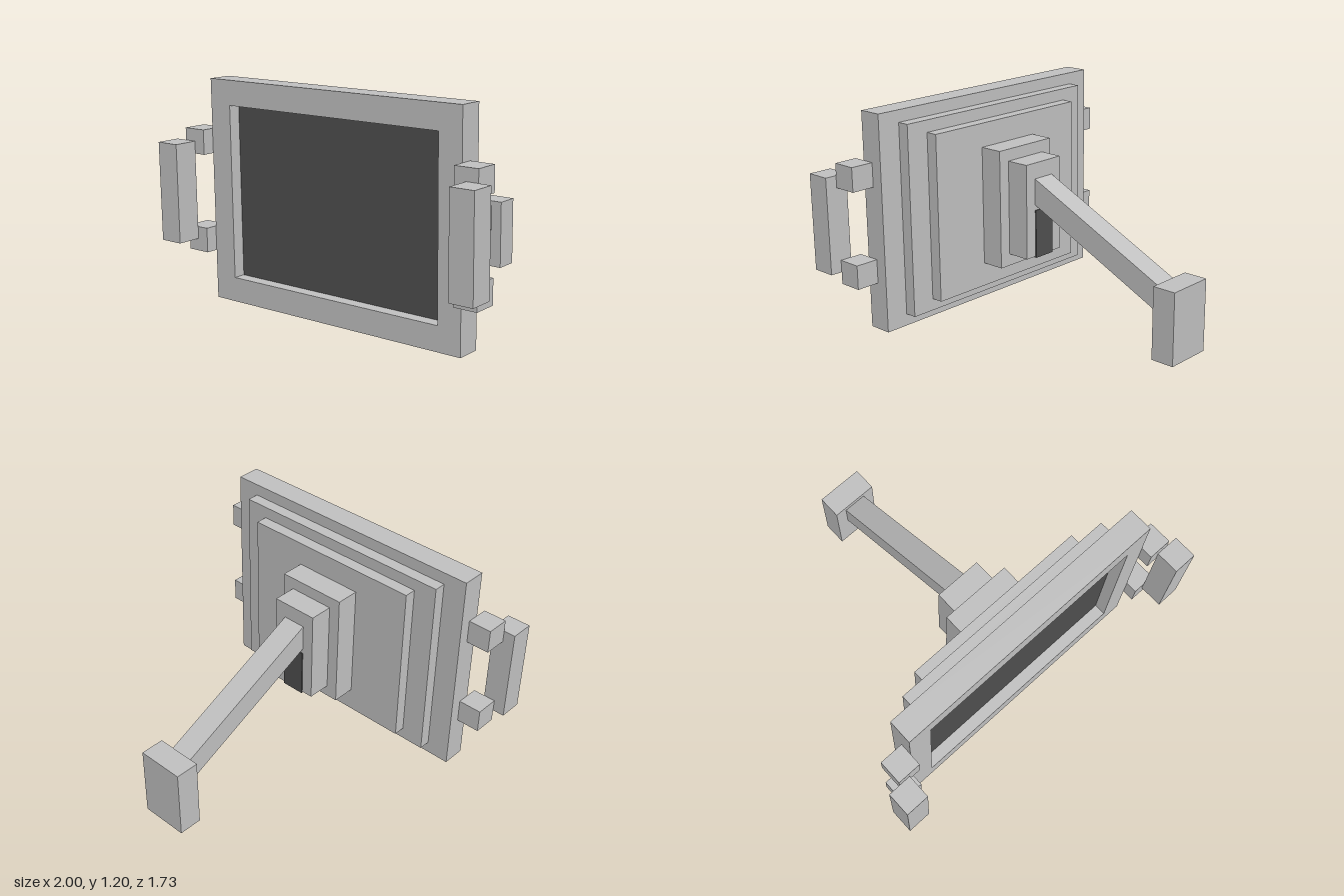
import * as THREE from 'three';

// All sizes are in blocks; one block is 1/15 of a unit.
const U = 1 / 15;

export function createModel() {
  const group = new THREE.Group();
  const grey = new THREE.MeshStandardMaterial({ color: 0xc0c0c0 });
  grey.name = 'light grey';
  const dark = new THREE.MeshStandardMaterial({ color: 0x4f4f4f });
  dark.name = 'dark grey';

  // Box given by its lower and upper limits on each axis.
  function box(name, [x0, x1], [y0, y1], [z0, z1], material = grey) {
    const geometry = new THREE.BoxGeometry((x1 - x0) * U, (y1 - y0) * U, (z1 - z0) * U);
    const mesh = new THREE.Mesh(geometry, material);
    mesh.position.set((x0 + x1) * U / 2, (y0 + y1) * U / 2, (z0 + z1) * U / 2);
    mesh.name = name;
    group.add(mesh);
    return mesh;
  }

  // Front frame with a rectangular opening
  const outline = new THREE.Shape();
  outline.moveTo(-12 * U, 0).lineTo(12 * U, 0).lineTo(12 * U, 18 * U).lineTo(-12 * U, 18 * U).closePath();
  const opening = new THREE.Path();
  opening.moveTo(-10 * U, 2 * U).lineTo(-10 * U, 16 * U).lineTo(10 * U, 16 * U).lineTo(10 * U, 2 * U).closePath();
  outline.holes.push(opening);
  const frame = new THREE.Mesh(
    new THREE.ExtrudeGeometry(outline, { depth: 2 * U, bevelEnabled: false }), grey);
  frame.position.z = 8 * U;
  frame.name = 'frame';
  group.add(frame);

  // Recessed screen
  box('screen', [-10, 10], [2, 16], [8, 9], dark);

  // Stepped back housing
  box('backPlateLarge', [-10, 10], [1, 17], [7, 8]);
  box('backPlateSmall', [-8, 8], [2, 16], [6, 7]);
  box('mountBase', [-3, 3], [4, 14], [4, 6]);
  box('mountHead', [-2, 2], [5, 13], [2, 4]);

  // Dark slot wrapping the lower back edge of the mount
  box('mountSlot', [-1, 1], [4.9, 9], [1.9, 3.9], dark);

  // Sloping arm down to the rear block
  const arm = box('arm', [-1, 1], [6.5, 8.5], [-12.5, 3.5]);
  arm.position.set(0, 7.5 * U, -4.5 * U);
  arm.rotation.x = -THREE.MathUtils.degToRad(25.2);
  box('rearBlock', [-2, 2], [0, 6], [-13, -11]);

  // Side handles, mirrored
  for (const side of [-1, 1]) {
    const span = (a, b) => (side > 0 ? [a, b] : [-b, -a]);
    const label = side > 0 ? 'left' : 'right';
    box(label + 'HandleLowerBracket', span(12, 14), [4, 6], [9, 11]);
    box(label + 'HandleUpperBracket', span(12, 14), [12, 14], [9, 11]);
    box(label + 'HandleGrip', span(13, 15), [5, 13], [11, 13]);
  }

  return group;
}
